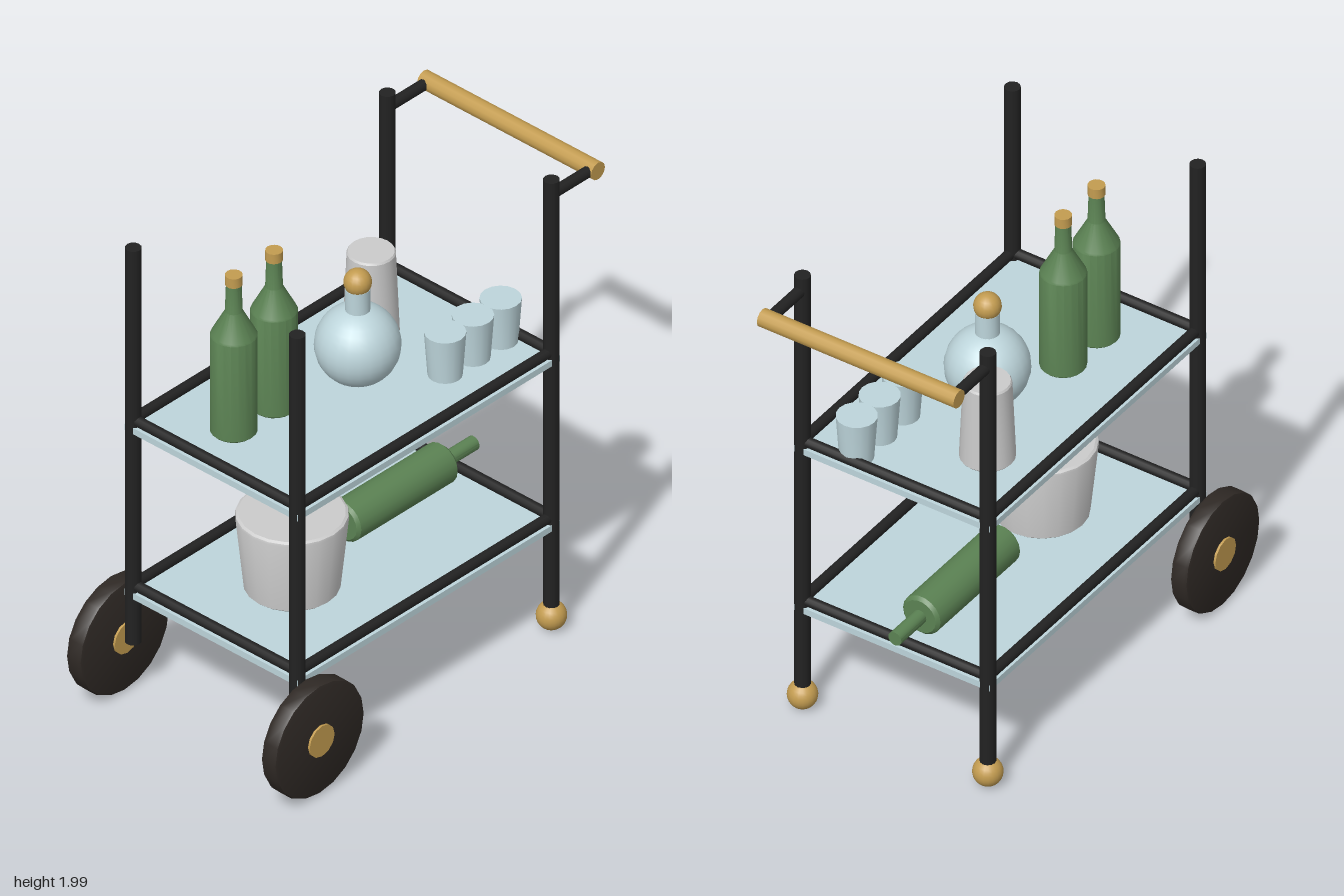
import * as THREE from 'three';
import { toCreasedNormals } from 'three/addons/utils/BufferGeometryUtils.js';

const mat = (color) => new THREE.MeshStandardMaterial({ color });

export function createModel() {
  const cart = new THREE.Group();
  cart.name = 'servingCart';

  const black = mat(0x222222), rubber = mat(0x2f2925), brass = mat(0xc39c50);
  const glass = mat(0xbdd5db), green = mat(0x5b8253), grey = mat(0xcccccc);

  const add = (name, geometry, material, x, y, z, parent = cart) => {
    const mesh = new THREE.Mesh(geometry, material);
    mesh.name = name;
    mesh.position.set(x, y, z);
    parent.add(mesh);
    return mesh;
  };
  // Turned solid from [radius, height] pairs, closed on the axis at both ends
  const turned = (profile, sides) => {
    const pts = profile.map(([r, y]) => new THREE.Vector2(r, y));
    pts.unshift(new THREE.Vector2(0, profile[0][1]));
    pts.push(new THREE.Vector2(0, profile[profile.length - 1][1]));
    return toCreasedNormals(new THREE.LatheGeometry(pts, sides), 0.5);
  };
  // Straight round bar along one axis
  const bar = (name, axis, r, length, material, x, y, z) => {
    const g = new THREE.CylinderGeometry(r, r, length, 12);
    if (axis === 'x') g.rotateZ(Math.PI / 2);
    if (axis === 'z') g.rotateX(Math.PI / 2);
    return add(name, g, material, x, y, z);
  };

  const xBack = -0.695, xHandle = 0.667, zPost = 0.41;
  const midX = (xBack + xHandle) / 2, span = xHandle - xBack;

  // Rounded tyre, turned about y and laid onto the z axis
  const tyre = turned([[0.225, -0.038], [0.236, -0.034], [0.24, -0.024],
    [0.24, 0.024], [0.236, 0.034], [0.225, 0.038]], 20).rotateX(Math.PI / 2);

  // Posts, wheels, feet and handle arms, mirrored front to back
  for (const s of [1, -1]) {
    const z = s * zPost;
    bar('wheelPost', 'y', 0.031, 1.75, black, xBack, 1.125, z);
    bar('footPost', 'y', 0.031, 1.94, black, xHandle, 1.03, z);
    add('ballFoot', new THREE.SphereGeometry(0.058, 20, 14), brass, xHandle, 0.065, z);
    add('wheel', tyre, rubber, xBack, 0.25, s * 0.487);
    bar('wheelHub', 'z', 0.067, 0.094, brass, xBack, 0.25, s * 0.487);
    bar('handleArm', 'x', 0.023, 0.225, black, 0.778, 1.935, z);
  }
  bar('handleBar', 'z', 0.037, 0.87, brass, 0.89, 1.935, 0);

  // Two shelves: a glass sheet under a frame of round rails
  for (const y of [0.469, 1.203]) {
    add('shelfGlass', new THREE.BoxGeometry(span + 0.045, 0.027, 2 * zPost + 0.045), glass, midX, y, 0);
    for (const s of [1, -1]) {
      bar('longRail', 'x', 0.021, span, black, midX, y + 0.034, s * zPost);
      bar('shortRail', 'z', 0.021, 2 * zPost, black, midX + s * span / 2, y + 0.034, 0);
    }
  }
  const lower = 0.483, upper = 1.217;

  // Two standing bottles
  const bottleShape = turned([[0.08, 0], [0.088, 0.008], [0.088, 0.43], [0.084, 0.438],
    [0.033, 0.535], [0.029, 0.655]], 20);
  const capShape = turned([[0.033, 0.652], [0.033, 0.694]], 14);
  for (const x of [-0.478, -0.262]) {
    const bottle = new THREE.Group();
    bottle.name = 'bottle';
    bottle.position.set(x, upper, -0.11);
    add('bottleBody', bottleShape, green, 0, 0, 0, bottle);
    add('bottleCap', capShape, brass, 0, 0, 0, bottle);
    cart.add(bottle);
  }

  // Round decanter with a ball stopper
  const decanter = new THREE.Group();
  decanter.name = 'decanter';
  decanter.position.set(0.068, upper, 0);
  add('decanterBody', new THREE.SphereGeometry(0.161, 24, 18), glass, 0, 0.163, 0, decanter);
  add('decanterNeck', turned([[0.047, 0.28], [0.047, 0.41]], 16), glass, 0, 0, 0, decanter);
  add('decanterStopper', new THREE.SphereGeometry(0.053, 18, 12), brass, 0, 0.437, 0, decanter);
  cart.add(decanter);

  // Tapered shaker
  add('shaker', turned([[0.1, 0], [0.105, 0.006], [0.091, 0.342], [0.086, 0.35]], 20),
    grey, 0.342, upper, -0.187);

  // Row of three tumblers
  for (const x of [0.315, 0.464, 0.613]) {
    add('tumbler', turned([[0.065, 0], [0.078, 0.188]], 16), glass, x, upper, 0.207);
  }

  // Ice bucket
  add('iceBucket', turned([[0.17, 0], [0.179, 0.008], [0.21, 0.313], [0.208, 0.322], [0.198, 0.328]], 20),
    grey, -0.284, lower, 0);

  // Bottle lying along the lower shelf, neck towards the handle
  const lying = turned([[0.07, 0], [0.083, 0.012], [0.083, 0.528], [0.07, 0.541],
    [0.029, 0.541], [0.029, 0.703]], 18).rotateZ(-Math.PI / 2);
  add('lyingBottle', lying, green, 0.044, 0.57, -0.053);

  return cart;
}
